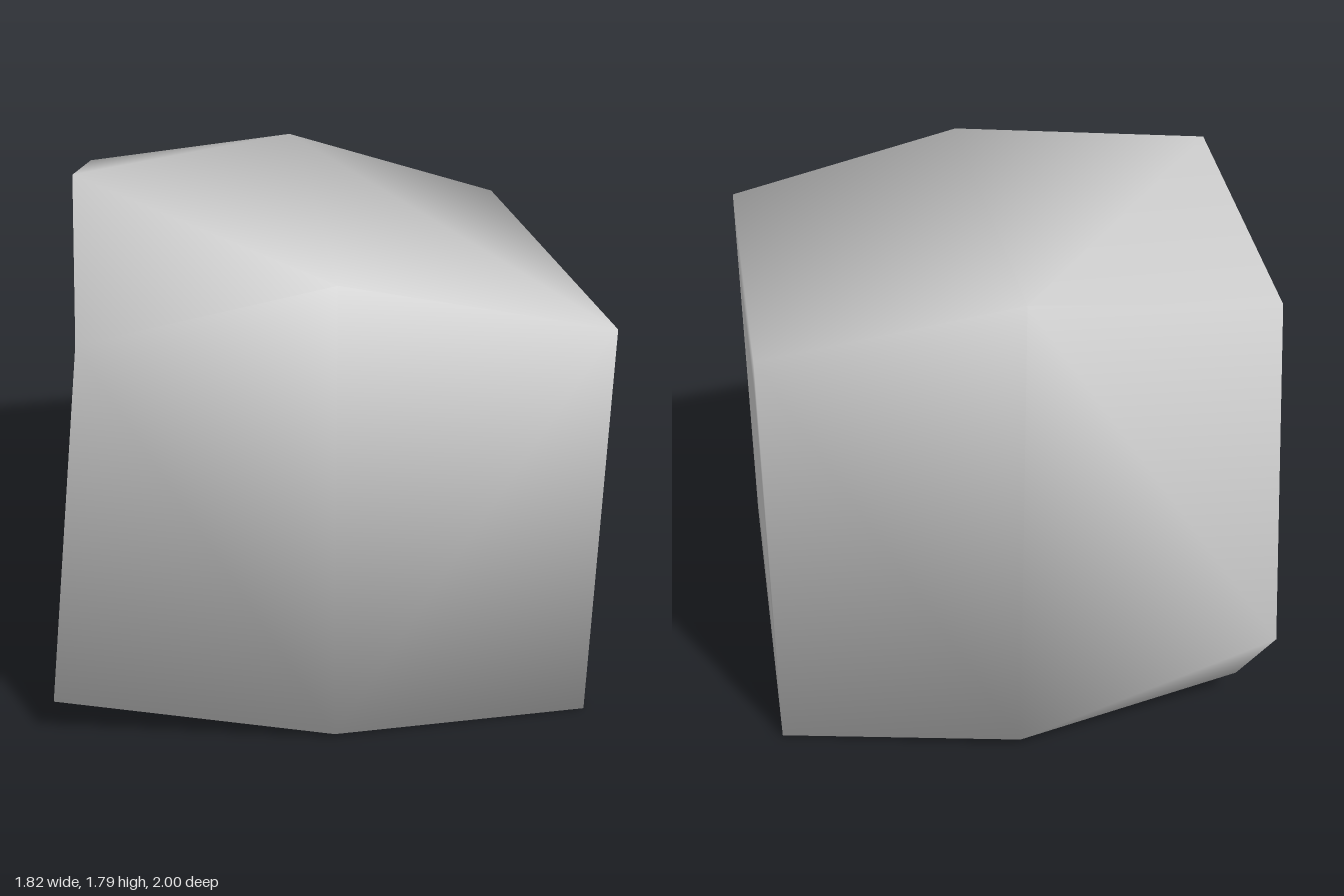
import * as THREE from 'three';

// Corner points of the boulder, grouped by cross-section along x
const corners = {
  // right end
  A: [0.91, 1.43, 0.72], B: [0.91, 0, 0.72], D: [0.74, 0, -0.79], C: [0.74, 1.43, -0.79],
  // middle ring
  F: [0.03, 1.635, 0.85], G: [0.03, 0.015, 0.85], I: [-0.07, 0.03, -0.91], H: [-0.07, 1.64, -0.91],
  // left end
  P: [-0.81, 1.79, 0.18], Q: [-0.73, 1.52, 1.0], R: [-0.91, 0.17, 0.84],
  U: [-0.86, 0.095, -0.69], T: [-0.89, 0.47, -1.0], S: [-0.86, 1.57, -0.8],
};

// Triangles of the long sides: front, top, back, bottom
const sides = [
  'AFG', 'AGB', 'FQG', 'QRG',
  'ACH', 'AHF', 'FHP', 'FPQ', 'HSP',
  'CDI', 'CIH', 'HIT', 'HTS',
  'BGI', 'BID', 'GRU', 'GUI', 'IUT',
];

export function createModel() {
  const points = [];
  const id = {};
  for (const [name, p] of Object.entries(corners)) {
    id[name] = points.push(new THREE.Vector3(...p)) - 1;
  }

  // Add a triangle, wound so that it faces away from the middle
  const index = [];
  const middle = new THREE.Vector3(0, 0.85, 0);
  const addTri = (a, b, c) => {
    const [p, q, r] = [points[a], points[b], points[c]];
    const normal = q.clone().sub(p).cross(r.clone().sub(p));
    const centre = p.clone().add(q).add(r).divideScalar(3).sub(middle);
    if (normal.dot(centre) < 0) index.push(a, c, b);
    else index.push(a, b, c);
  };

  for (const t of sides) addTri(id[t[0]], id[t[1]], id[t[2]]);

  // End face: an inset ring keeps the shading flat inside a soft border
  const addEnd = (names, inset) => {
    const outer = [...names].map((n) => id[n]);
    const n = outer.length;
    const centre = new THREE.Vector3();
    outer.forEach((i) => centre.addScaledVector(points[i], 1 / n));
    const inner = outer.map((i) => points.push(points[i].clone().lerp(centre, inset)) - 1);
    const hub = points.push(centre) - 1;
    for (let i = 0; i < n; i++) {
      const j = (i + 1) % n;
      addTri(outer[i], outer[j], inner[j]);
      addTri(outer[i], inner[j], inner[i]);
      addTri(inner[i], inner[j], hub);
    }
  };
  addEnd('ABDC', 0.32);
  addEnd('PQRUTS', 0.3);

  const geometry = new THREE.BufferGeometry().setFromPoints(points);
  geometry.setIndex(index);
  geometry.computeVertexNormals();

  const stone = new THREE.MeshStandardMaterial({ color: 0xcccccc });
  stone.name = 'stoneGrey';

  const boulder = new THREE.Mesh(geometry, stone);
  boulder.name = 'boulder';

  const group = new THREE.Group();
  group.name = 'rock';
  group.add(boulder);
  return group;
}
